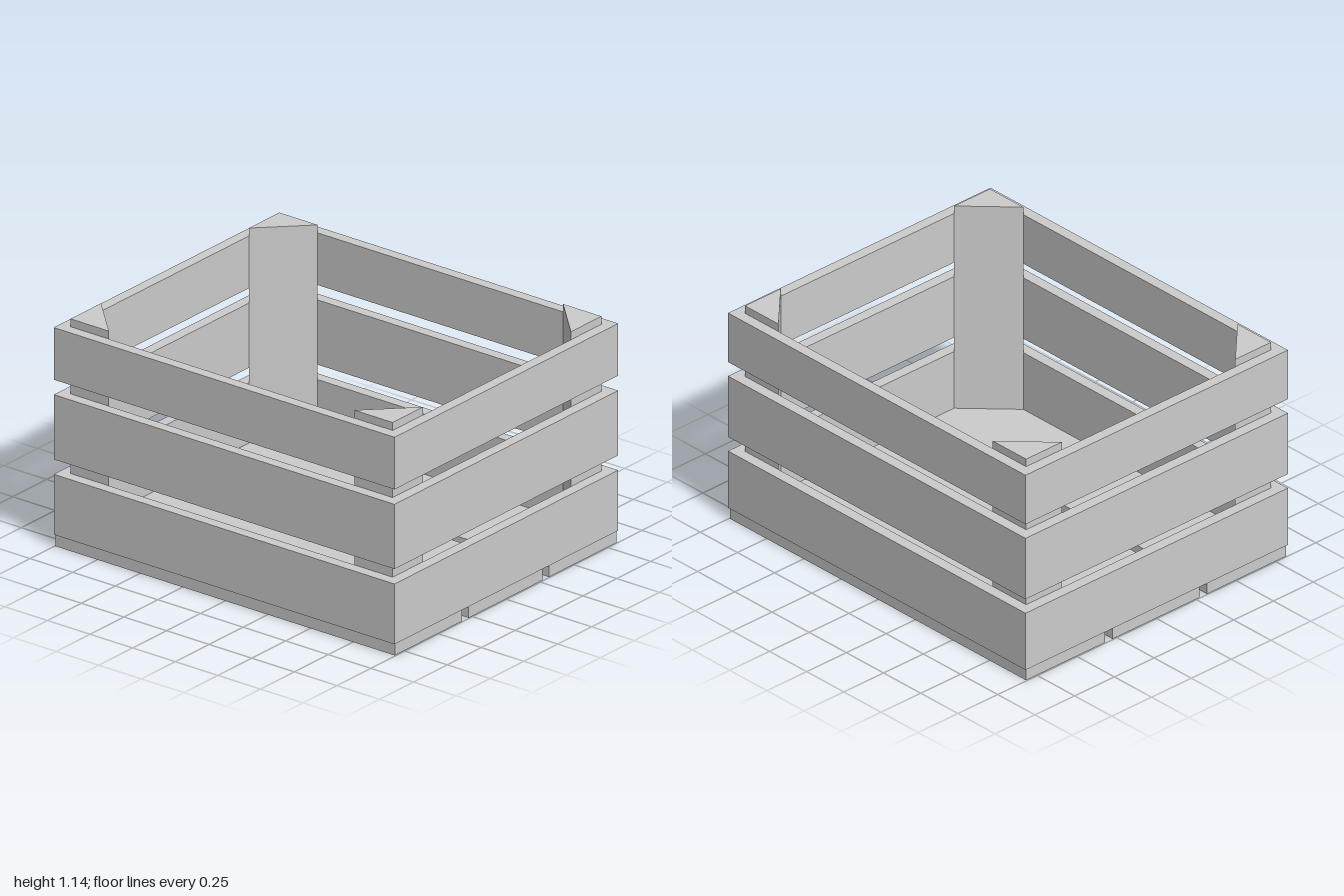
import * as THREE from 'three';

const HALF_X = 0.825, HALF_Z = 1, BOARD = 0.055, FLOOR_TOP = 0.06;

export function createModel() {
  const crate = new THREE.Group();
  crate.name = 'crate';
  const material = new THREE.MeshStandardMaterial({ color: 0xcccccc, flatShading: true });

  const add = (name, geometry) => {
    const mesh = new THREE.Mesh(geometry, material);
    mesh.name = name;
    crate.add(mesh);
    return mesh;
  };
  // Extrude a plan outline upwards from y0 to y1
  const upright = (shape, y0, y1) =>
    new THREE.ExtrudeGeometry(shape, { depth: y1 - y0, bevelEnabled: false })
      .rotateX(-Math.PI / 2).translate(0, y0, 0);
  const corners = (x, z) => [[-x, -z], [x, -z], [x, z], [-x, z]].map(([a, b]) => new THREE.Vector2(a, b));

  // Three floor boards running front to back
  for (const [x0, x1] of [[-0.817, -0.32], [-0.273, 0.273], [0.32, 0.817]]) {
    const board = add('floorBoard', new THREE.BoxGeometry(x1 - x0, FLOOR_TOP - 0.003, 1.99));
    board.position.set((x0 + x1) / 2, (FLOOR_TOP - 0.003) / 2, 0);
  }

  // Three rings of side slats, open in the middle
  const inX = HALF_X - BOARD, inZ = HALF_Z - BOARD;
  for (const [y0, y1] of [[FLOOR_TOP, 0.363], [0.438, 0.763], [0.838, 1.1]]) {
    const ring = new THREE.Shape(corners(HALF_X, HALF_Z));
    ring.holes.push(new THREE.Path(corners(inX, inZ).reverse()));
    add('slatRing', upright(ring, y0, y1));
  }

  // Triangular posts in the four inner corners
  const leg = 0.225;
  for (const sx of [-1, 1]) for (const sz of [-1, 1]) {
    const post = new THREE.Shape([
      new THREE.Vector2(sx * inX, sz * inZ),
      new THREE.Vector2(sx * (inX - leg), sz * inZ),
      new THREE.Vector2(sx * inX, sz * (inZ - leg)),
    ]);
    add('cornerPost', upright(post, FLOOR_TOP, 1.14));
  }
  return crate;
}
